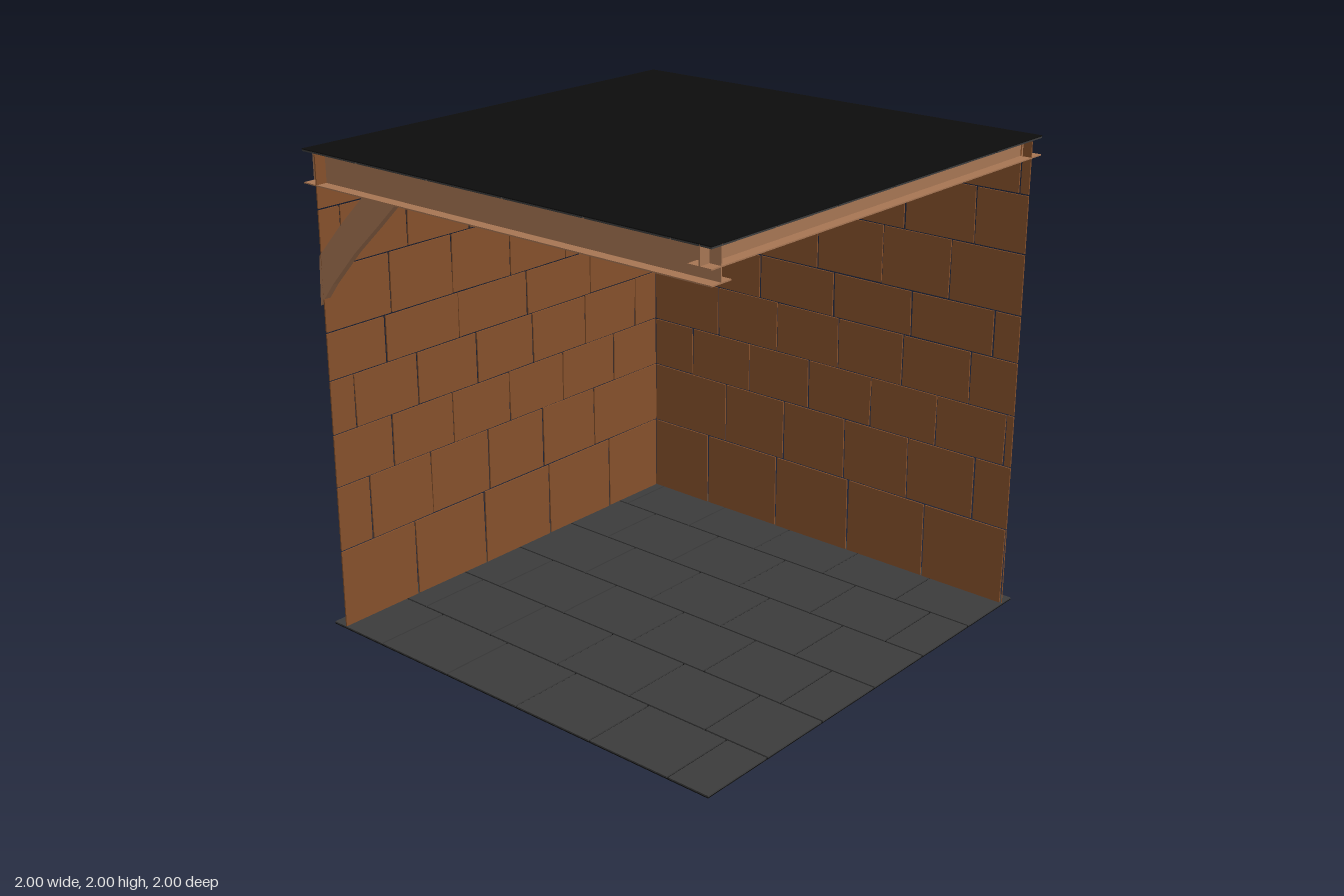
import * as THREE from 'three';

const mat = (name, color) => {
  const m = new THREE.MeshStandardMaterial({ color });
  m.name = name;
  return m;
};

export function createModel() {
  const brick = mat('brickBrown', 0x85502b);
  const wood = mat('beamWood', 0xa67553);
  const stone = mat('tileGrey', 0x3c3c3c);
  const black = mat('backingBlack', 0x0d0d0d);

  const model = new THREE.Group();
  model.name = 'roomCorner';

  let seed = 7;
  const rand = () => (seed = (seed * 16807) % 2147483647) / 2147483647;

  const add = (parent, name, geometry, material, x = 0, y = 0, z = 0) => {
    const mesh = new THREE.Mesh(geometry, material);
    mesh.name = name;
    mesh.position.set(x, y, z);
    parent.add(mesh);
    return mesh;
  };

  const group = (name) => {
    const g = new THREE.Group();
    g.name = name;
    model.add(g);
    return g;
  };

  // Thin slab in the XY plane with slightly uneven corners
  const slab = (x0, x1, y0, y1, depth, jitter) => {
    const geo = new THREE.BoxGeometry(x1 - x0, y1 - y0, depth);
    geo.translate((x0 + x1) / 2, (y0 + y1) / 2, 0);
    const offsets = [0, 1, 2, 3].map(() => [(rand() - 0.5) * jitter, (rand() - 0.5) * jitter * 0.4]);
    const p = geo.attributes.position;
    for (let i = 0; i < p.count; i++) {
      const k = (p.getX(i) > (x0 + x1) / 2 ? 1 : 0) + (p.getY(i) > (y0 + y1) / 2 ? 2 : 0);
      p.setX(i, p.getX(i) + offsets[k][0]);
      p.setY(i, p.getY(i) + offsets[k][1]);
    }
    return geo;
  };

  // Spans between regular joints; joints too near the ends are dropped
  const spans = (start, end, joint, pitch, minStart, minEnd) => {
    const cuts = [start];
    for (let j = joint - 4 * pitch; j < end - minEnd; j += pitch) if (j > start + minStart) cuts.push(j);
    cuts.push(end);
    return cuts.slice(1).map((c, i) => [cuts[i], c]);
  };

  // Brick courses: bottom, top, one joint, joint spacing
  const courses = [
    [0.012, 0.345, -0.205, 0.4],
    [0.352, 0.625, -0.167, 0.333],
    [0.631, 0.851, -0.033, 0.333],
    [0.857, 1.079, -0.215, 0.333],
    [1.085, 1.277, -0.31, 0.398],
    [1.284, 1.532, -0.003, 0.333],
    [1.539, 1.771, -0.232, 0.333],
    [1.778, 1.988, -0.04, 0.333],
  ];
  const GAP = 0.004;
  const WALL = -0.929;

  const buildWall = (name, mirrored) => {
    const wall = group(name);
    for (const [y0, y1, joint, pitch] of courses) {
      const row = mirrored
        ? spans(WALL, 1, -joint, pitch, 0.12, 0.02)
        : spans(WALL, 1, joint, pitch, 0.12, 0.005);
      for (const [a, b] of row) {
        const left = a === WALL ? a + 0.004 : a + GAP;
        const right = b === 1 ? 1 : b - GAP;
        const geo = slab(left, right, y0, y1, 0.006, b === 1 ? 0 : 0.006);
        // Local +x runs along +z on the side wall
        if (mirrored) geo.rotateY(-Math.PI / 2);
        add(wall, 'brick', geo, brick, mirrored ? WALL : 0, 0, mirrored ? 0 : WALL);
      }
    }
  };
  buildWall('backWall', false);
  buildWall('sideWall', true);

  // Floor and ceiling: black backing sheet with staggered flagstones
  const buildDeck = (name, sheetY, tileY) => {
    const deck = group(name);
    add(deck, 'backingSheet', new THREE.BoxGeometry(2, 0.004, 2), black, 0, sheetY, 0);
    const rows = 6;
    const depth = 2 / rows;
    for (let r = 0; r < rows; r++) {
      const z0 = -1 + r * depth;
      const joint = -0.1 + (r % 2) * 0.18 + (rand() - 0.5) * 0.1;
      for (const [a, b] of spans(-1, 1, joint, 0.38, 0.1, 0.1)) {
        const geo = slab(
          a === -1 ? a : a + GAP, b === 1 ? b : b - GAP,
          r === 0 ? z0 : z0 + GAP, r === rows - 1 ? 1 : z0 + depth - GAP, 0.006, 0);
        geo.rotateX(Math.PI / 2);
        add(deck, 'flagstone', geo, stone, 0, tileY, 0);
      }
    }
  };
  buildDeck('floor', 0.002, 0.007);
  buildDeck('ceiling', 1.998, 1.993);

  // Beams: upright web over a flat bottom flange
  const buildBeam = (name, bottom, alongZ) => {
    const beam = group(name);
    const height = 1.997 - bottom;
    add(beam, 'web', new THREE.BoxGeometry(2, height, 0.005), wood, 0, bottom + height / 2, 0.95);
    add(beam, 'flange', new THREE.BoxGeometry(2, 0.005, 0.1), wood, 0, bottom + 0.0025, 0.95);
    if (alongZ) beam.rotation.y = Math.PI / 2;
  };
  buildBeam('frontBeam', 1.865, false);
  buildBeam('sideBeam', 1.92, true);

  // Curved corner brace under the front beam
  const brace = new THREE.Shape();
  [[-0.95, 1.39], [-0.87, 1.49], [-0.73, 1.64], [-0.59, 1.77], [-0.49, 1.866],
    [-0.67, 1.866], [-0.8, 1.74], [-0.94, 1.59]]
    .forEach(([x, y], i) => (i ? brace.lineTo(x, y) : brace.moveTo(x, y)));
  brace.closePath();
  add(model, 'cornerBrace',
    new THREE.ExtrudeGeometry(brace, { depth: 0.03, bevelEnabled: false }), wood, 0, 0, 0.97);

  return model;
}
